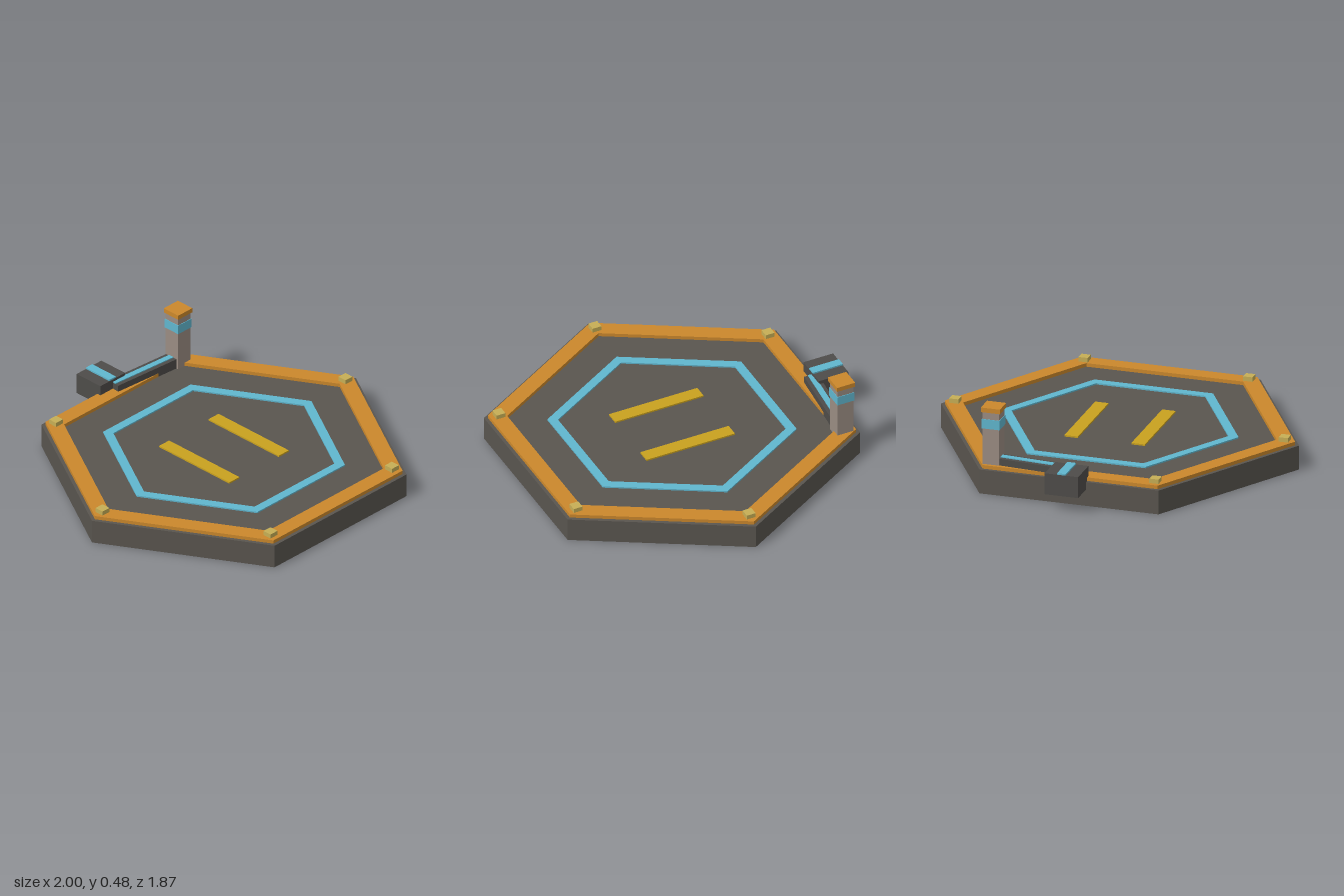
import * as THREE from 'three';

const CZ = 0.065; // z of the pad centre

const mat = (name, color) => {
  const m = new THREE.MeshStandardMaterial({ color });
  m.name = name;
  return m;
};

// Hexagon outline with corners on the x axis
function hexPoints(r) {
  return Array.from({ length: 6 }, (_, i) => {
    const a = (i * Math.PI) / 3;
    return new THREE.Vector2(r * Math.cos(a), r * Math.sin(a));
  });
}

// Flat hexagonal slab, or a ring when an inner radius is given
function hexSlab(outer, inner, y0, y1) {
  const shape = new THREE.Shape(hexPoints(outer));
  if (inner > 0) shape.holes.push(new THREE.Path(hexPoints(inner).reverse()));
  const g = new THREE.ExtrudeGeometry(shape, { depth: y1 - y0, bevelEnabled: false });
  g.rotateX(-Math.PI / 2);
  g.translate(0, y0, CZ);
  return g;
}

export function createModel() {
  const concrete = mat('concrete grey', 0x59554f);
  const darkMetal = mat('dark metal', 0x4e4c49);
  const orange = mat('rim orange', 0xcb882c);
  const blue = mat('line blue', 0x60b6ce);
  const yellow = mat('marking yellow', 0xc9a11f);
  const lampGlass = mat('lamp yellow', 0xc6ae55);
  const stone = mat('post grey', 0x9a8c82);

  const model = new THREE.Group();
  model.name = 'landingPad';

  const add = (parent, name, geometry, material) => {
    const mesh = new THREE.Mesh(geometry, material);
    mesh.name = name;
    parent.add(mesh);
    return mesh;
  };
  // Box centred on x and z, spanning y0 to y1
  const box = (parent, name, material, w, d, x, z, y0, y1) => {
    const mesh = add(parent, name, new THREE.BoxGeometry(w, y1 - y0, d), material);
    mesh.position.set(x, (y0 + y1) / 2, z);
    return mesh;
  };
  const group = (name) => {
    const g = new THREE.Group();
    g.name = name;
    model.add(g);
    return g;
  };

  // Deck, raised rim and painted ring
  add(model, 'deck', hexSlab(1, 0, 0, 0.135), concrete);
  add(model, 'rim', hexSlab(0.978, 0.876, 0.135, 0.155), orange);
  add(model, 'ringLine', hexSlab(0.662, 0.606, 0.135, 0.143), blue);

  // Pair of touchdown bars
  for (const s of [-1, 1]) {
    box(model, s > 0 ? 'leftTouchdownBar' : 'rightTouchdownBar', yellow,
      0.075, 0.522, s * 0.187, CZ, 0.135, 0.144);
  }

  // A lamp at each corner of the rim
  const lamps = group('cornerLamps');
  hexPoints(0.92).forEach((p) => {
    box(lamps, 'cornerLamp', lampGlass, 0.052, 0.052, p.x, CZ - p.y, 0.15, 0.18);
  });

  // Signal post with band and cap
  const px = 0.449, pz = -0.717;
  const post = group('signalPost');
  box(post, 'postShaft', stone, 0.094, 0.094, px, pz, 0.135, 0.452);
  box(post, 'postBand', blue, 0.1, 0.1, px, pz, 0.357, 0.41);
  box(post, 'postCap', orange, 0.107, 0.107, px, pz, 0.45, 0.476);

  // Equipment box overhanging the back edge
  const pod = group('equipmentBox');
  box(pod, 'boxBody', darkMetal, 0.187, 0.176, -0.002, -0.848, 0.093, 0.212);
  box(pod, 'boxStripe', blue, 0.048, 0.176, -0.002, -0.848, 0.212, 0.221);

  // Conduit running from the box to the post
  const conduit = group('conduit');
  const from = new THREE.Vector2(0, -0.756);
  const to = new THREE.Vector2(px, pz);
  const length = from.distanceTo(to);
  conduit.position.set((from.x + to.x) / 2, 0, (from.y + to.y) / 2);
  conduit.rotation.y = -Math.atan2(to.y - from.y, to.x - from.x);
  box(conduit, 'conduitBody', darkMetal, length, 0.076, 0, 0, 0.133, 0.192);
  box(conduit, 'conduitStripe', blue, length, 0.032, 0, 0, 0.192, 0.197);

  return model;
}
